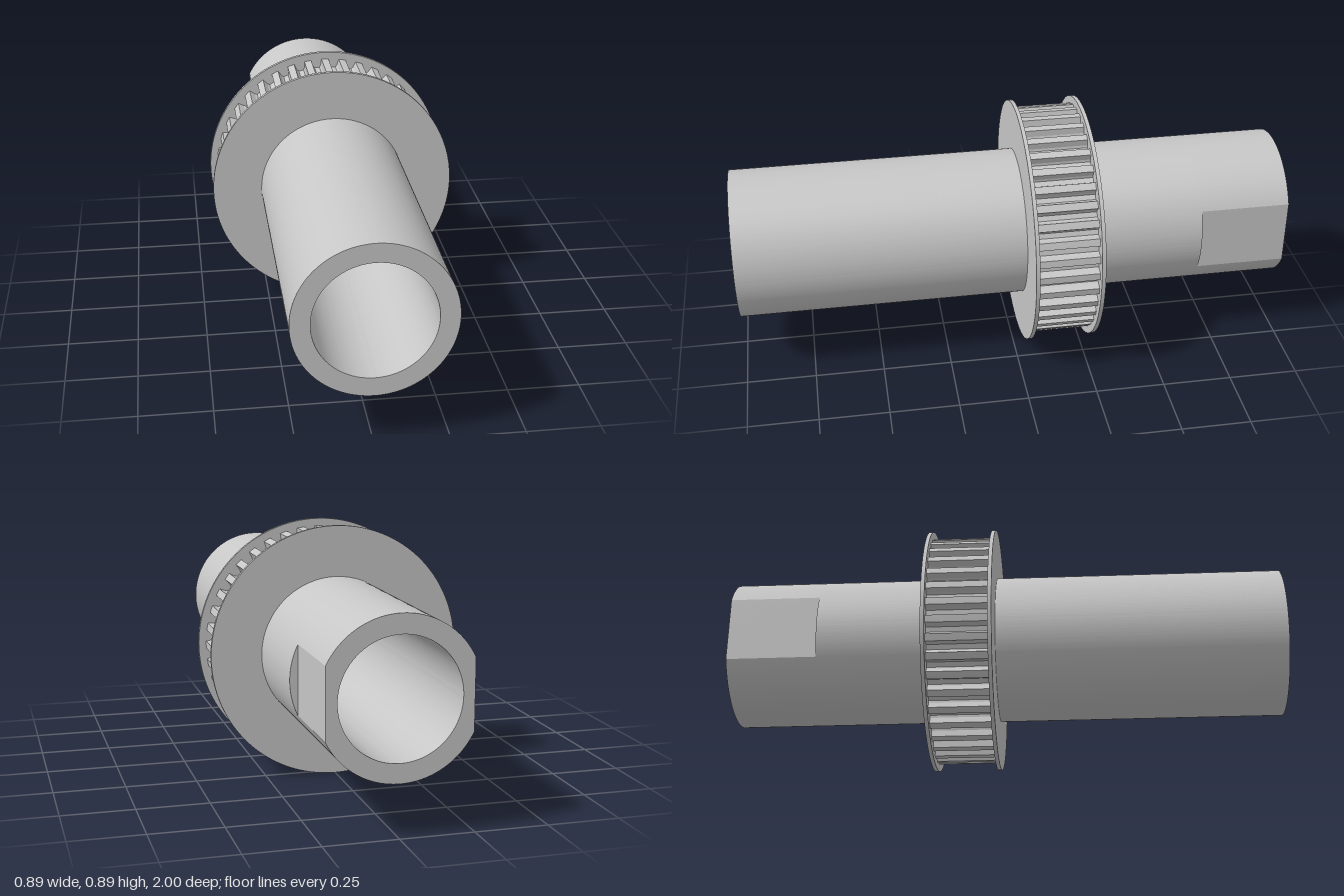
import * as THREE from 'three';
import { toCreasedNormals } from 'three/addons/utils/BufferGeometryUtils.js';

const AXIS_Y = 0.447, SHAFT_R = 0.2675, BORE_R = 0.202, FLANGE_R = 0.4465;
const FLAT_X = 0.24, TEETH = 40, TIP_R = 0.42, ROOT_R = 0.389;
const SEGMENTS = 144;

// Round outline
function disc(r) {
  return new THREE.Shape().absarc(0, 0, r, 0, Math.PI * 2, false);
}

// Round outline cut to a flat on each side
function flattedDisc() {
  const points = disc(SHAFT_R).getPoints(SEGMENTS);
  for (const p of points) p.x = THREE.MathUtils.clamp(p.x, -FLAT_X, FLAT_X);
  return new THREE.Shape(points);
}

// Toothed outline: round-bottomed grooves between flat-topped teeth
function toothedDisc() {
  const points = [];
  const pitch = (Math.PI * 2) / TEETH;
  const steps = [[-0.2, TIP_R], [0, TIP_R], [0.2, TIP_R], [0.27, ROOT_R + 0.008],
    [0.35, ROOT_R], [0.65, ROOT_R], [0.73, ROOT_R + 0.008]];
  for (let i = 0; i < TEETH; i++) {
    for (const [t, r] of steps) {
      const a = Math.PI / 2 + (i + t) * pitch;
      points.push(new THREE.Vector2(Math.cos(a) * r, Math.sin(a) * r));
    }
  }
  return new THREE.Shape(points);
}

export function createModel() {
  const model = new THREE.Group();
  model.name = 'pulleyShaft';
  const steel = new THREE.MeshStandardMaterial({ color: 0xc7c7c7 });
  steel.name = 'light steel grey';

  // Extrudes an outline with a round hole between two z positions
  function addPart(name, shape, holeR, z0, z1) {
    shape.holes.push(new THREE.Path().absarc(0, 0, holeR, 0, Math.PI * 2, true));
    const extruded = new THREE.ExtrudeGeometry(shape, {
      depth: z1 - z0, bevelEnabled: false, curveSegments: SEGMENTS,
    });
    const mesh = new THREE.Mesh(toCreasedNormals(extruded, 0.1), steel);
    mesh.name = name;
    mesh.position.set(0, AXIS_Y, z0);
    model.add(mesh);
  }

  // Hollow shaft, with two wrench flats at the back end
  addPart('shaft', disc(SHAFT_R), BORE_R, -0.675, 1);
  addPart('flattedShaftEnd', flattedDisc(), BORE_R, -1, -0.675);

  // Toothed wheel held between two thin flanges
  addPart('toothedWheel', toothedDisc(), SHAFT_R - 0.01, -0.267, -0.045);
  addPart('frontFlange', disc(FLANGE_R), SHAFT_R - 0.01, -0.047, -0.033);
  addPart('backFlange', disc(FLANGE_R), SHAFT_R - 0.01, -0.279, -0.265);

  return model;
}
